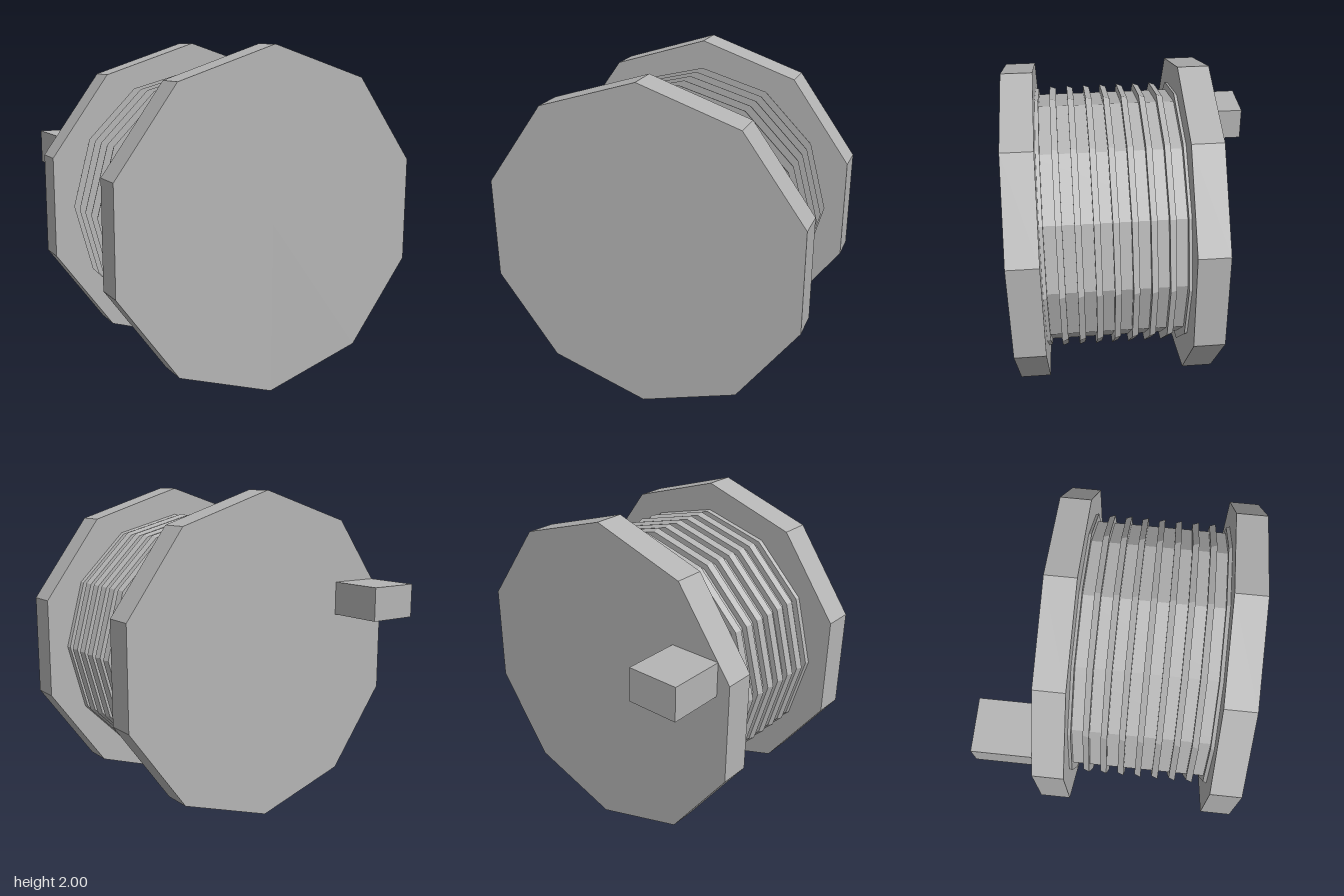
import * as THREE from 'three';

const AXIS_Y = 1;

export function createModel() {
  const group = new THREE.Group();
  const grey = new THREE.MeshStandardMaterial({ color: 0xb4b4b4 });
  grey.name = 'grey';
  grey.flatShading = true;

  const add = (name, geometry, x, y, z) => {
    const mesh = new THREE.Mesh(geometry, grey);
    mesh.name = name;
    mesh.position.set(x, y, z);
    group.add(mesh);
  };

  // Faceted disc lying along z, with separate front and back radii
  const disc = (name, frontRadius, backRadius, z0, z1, sides) => {
    const geometry = new THREE.CylinderGeometry(frontRadius, backRadius, z1 - z0, sides);
    geometry.rotateX(Math.PI / 2);
    add(name, geometry, 0, AXIS_Y, (z0 + z1) / 2);
  };

  // Ten-sided end plates
  disc('frontFlange', 1, 1, 0.594, 0.778, 10);
  disc('backFlange', 1, 1, -0.43, -0.246, 10);

  // Twelve-sided core with evenly spaced tapered ridges
  disc('core', 0.783, 0.783, -0.3, 0.65, 12);
  for (let i = 0; i < 9; i++) {
    const z = -0.265 + i * 0.1047;
    disc('ridge' + (i + 1), 0.832, 0.818, z, z + 0.037, 12);
  }

  // Off-centre crank handle on the back plate
  add('handle', new THREE.BoxGeometry(0.315, 0.206, 0.348), -0.711, 1.321, -0.604);

  return group;
}
